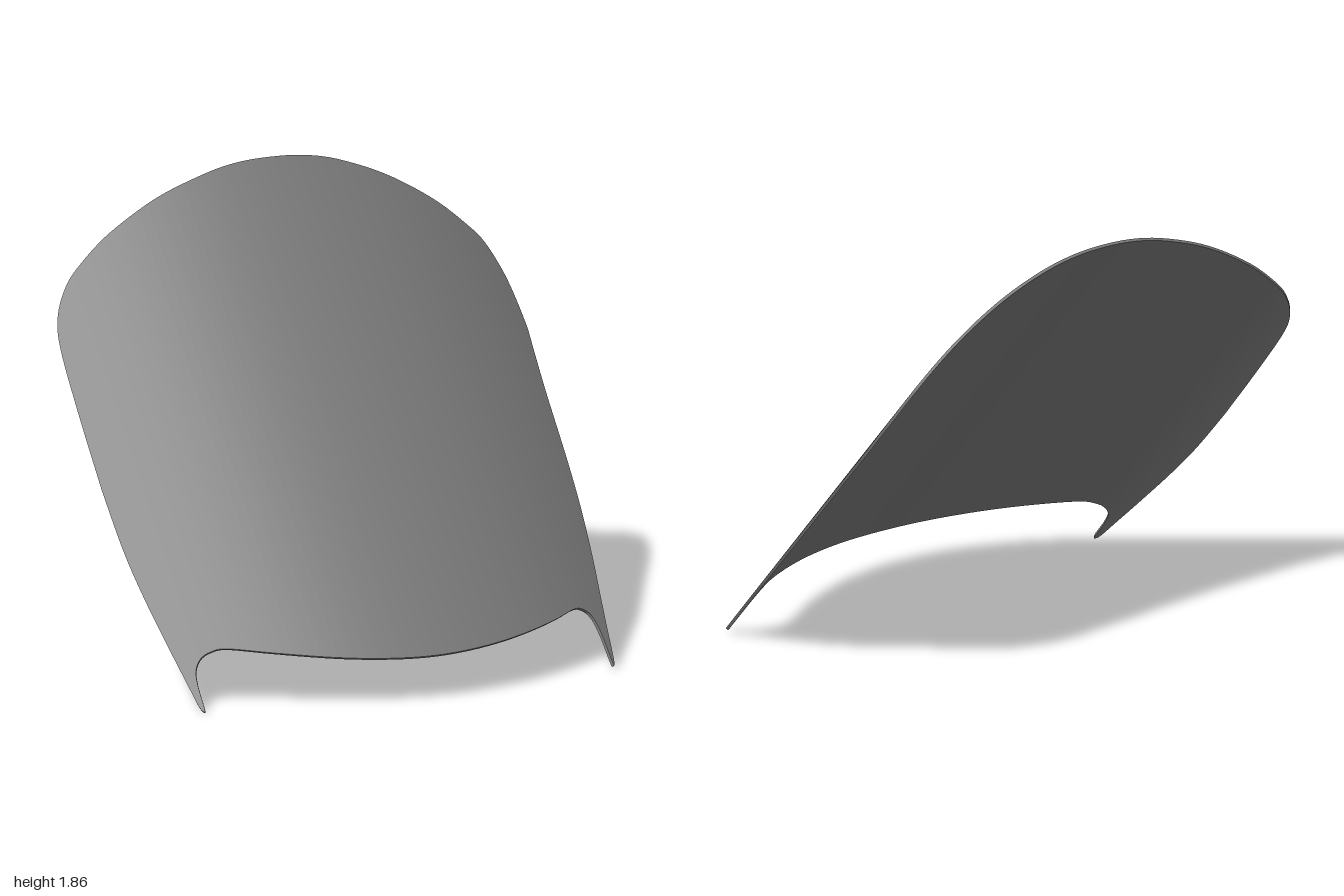
import * as THREE from 'three';
import { mergeGeometries } from 'three/addons/utils/BufferGeometryUtils.js';

const THICKNESS = 0.012;

// Smooth outline with x always rising
function outline(points) {
  const pts = new THREE.SplineCurve(points.map(([x, y]) => new THREE.Vector2(x, y))).getPoints(points.length * 6);
  for (let i = 1; i < pts.length; i++) pts[i].x = Math.max(pts[i].x, pts[i - 1].x + 1e-5);
  return pts;
}

// Height of an outline at x
function heightAt(pts, x) {
  let i = 1;
  while (i < pts.length - 1 && pts[i].x < x) i++;
  const a = pts[i - 1], b = pts[i];
  const t = THREE.MathUtils.clamp((x - a.x) / (b.x - a.x), 0, 1);
  return a.y + (b.y - a.y) * t;
}

// Raked sheet, bowed across its width; depth sets the layer behind the front face
function sheetPoint(x, y, depth) {
  const p = new THREE.Vector3(x, y, 0.76 - (y - 0.18) * 0.895 - 0.43 * x * x);
  const normal = new THREE.Vector3(0.86 * x, 0.895, 1).normalize();
  return p.addScaledVector(normal, -depth);
}

// Band of quads between two rows of points
function strip(rowA, rowB) {
  const n = rowA.length, index = [];
  for (let i = 0; i < n - 1; i++) index.push(i, i + 1, n + i + 1, i, n + i + 1, n + i);
  const geometry = new THREE.BufferGeometry().setFromPoints([...rowA, ...rowB]);
  geometry.setIndex(index);
  geometry.computeVertexNormals();
  return geometry;
}

export function createModel() {
  const group = new THREE.Group();
  group.name = 'windshield';
  const tint = new THREE.MeshStandardMaterial({ color: 0x787878 });
  tint.name = 'smoke grey';

  const upper = outline([
    [-1, 0.75], [-0.995, 1.0], [-0.985, 1.22], [-0.962, 1.33], [-0.91, 1.43], [-0.84, 1.512],
    [-0.7, 1.63], [-0.5, 1.748], [-0.3, 1.823], [-0.15, 1.857], [0, 1.866], [0.15, 1.857],
    [0.3, 1.823], [0.5, 1.743], [0.7, 1.625], [0.84, 1.51], [0.91, 1.435], [0.965, 1.32],
    [0.99, 1.21], [1, 1.12],
  ]);
  // Lower edge with a pointed prong at each side
  const lower = outline([
    [-1, 0.75], [-0.995, 0.55], [-0.98, 0.4], [-0.955, 0.24], [-0.93, 0.1], [-0.917, 0.03],
    [-0.907, 0.01], [-0.9, 0.02], [-0.897, 0.1], [-0.887, 0.15], [-0.86, 0.19], [-0.82, 0.215],
    [-0.76, 0.228], [-0.6, 0.217], [-0.3, 0.195], [0, 0.186], [0.3, 0.198], [0.6, 0.222],
    [0.735, 0.236], [0.79, 0.222], [0.825, 0.19], [0.844, 0.13], [0.853, 0.04], [0.859, 0.02],
    [0.87, 0.05], [0.89, 0.15], [0.915, 0.26], [0.94, 0.37], [0.965, 0.52], [0.978, 0.68],
    [0.984, 0.9], [0.992, 1.03], [1, 1.12],
  ]);

  const xs = [...upper, ...lower].map((p) => p.x).sort((a, b) => a - b)
    .filter((x, i, all) => i === 0 || x - all[i - 1] > 1e-6);
  const row = (edge, depth) => xs.map((x) => sheetPoint(x, heightAt(edge, x), depth));
  const upFront = row(upper, 0), upBack = row(upper, THICKNESS);
  const lowFront = row(lower, 0), lowBack = row(lower, THICKNESS);

  const add = (name, geometry) => {
    const mesh = new THREE.Mesh(geometry, tint);
    mesh.name = name;
    group.add(mesh);
  };
  add('outerPane', strip(lowFront, upFront));
  add('innerPane', strip(upBack, lowBack));
  add('rim', mergeGeometries([strip(upFront, upBack), strip(lowBack, lowFront)]));
  return group;
}
